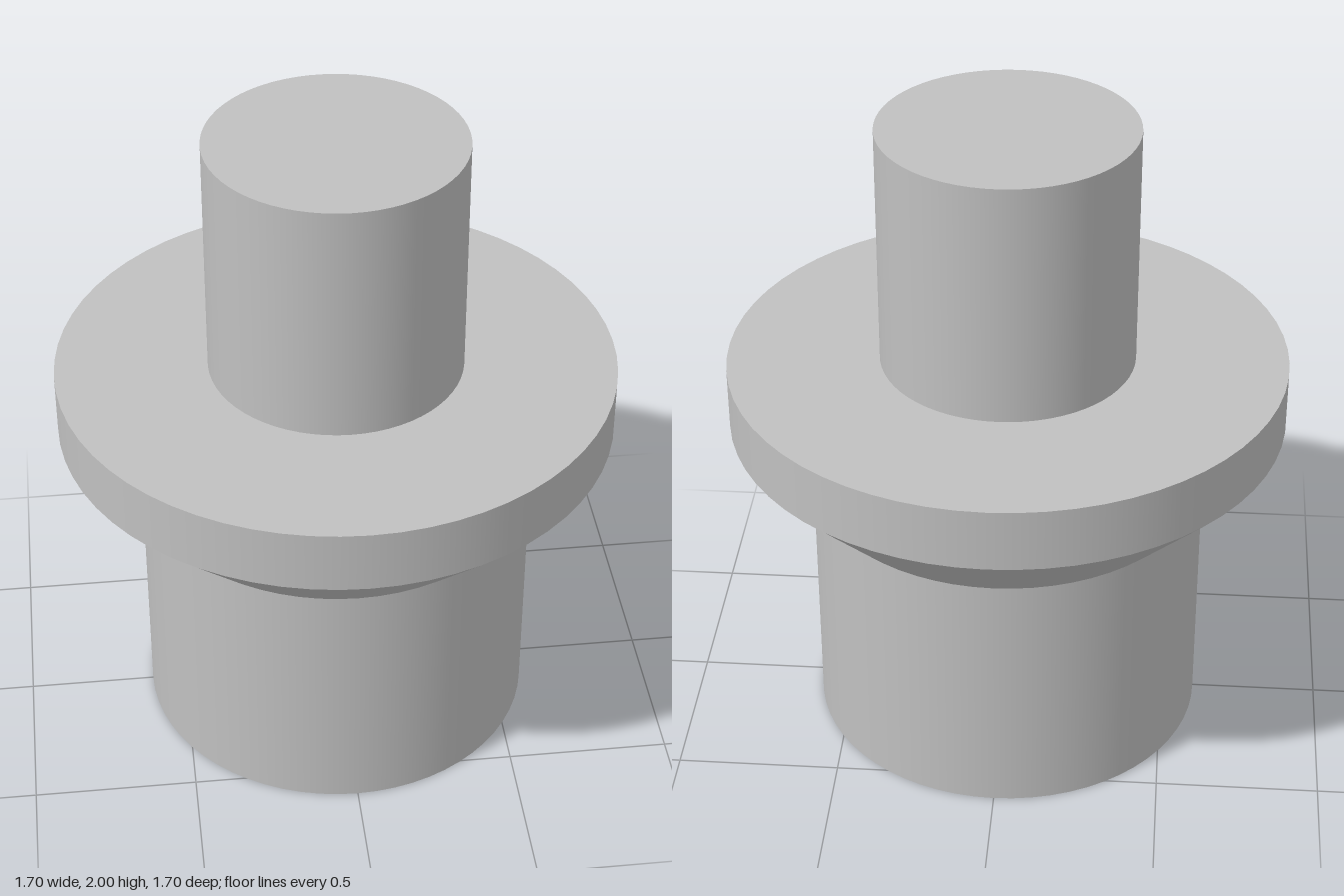
import * as THREE from 'three';

const SEGMENTS = 64;
const BASE_R = 0.606, FLANGE_R = 0.85, SHAFT_R = 0.388;
const BASE_TOP = 0.805, RIM_BOTTOM = 1.05, RIM_TOP = 1.243, TOP = 2;

export function createModel() {
  const group = new THREE.Group();
  group.name = 'steppedShaft';
  const metal = new THREE.MeshStandardMaterial({ color: 0xc0c0c0 });
  metal.name = 'plain grey';

  const add = (name, geometry) => {
    const mesh = new THREE.Mesh(geometry, metal);
    mesh.name = name;
    group.add(mesh);
    return mesh;
  };

  // Open wall between two heights, so the parts join without hidden faces
  const wall = (name, r0, y0, r1, y1) => {
    const geometry = new THREE.CylinderGeometry(r1, r0, y1 - y0, SEGMENTS, 1, true);
    add(name, geometry.translate(0, (y0 + y1) / 2, 0));
  };

  // Flat disc or ring; segments start on the same angle as the walls
  const face = (name, inner, outer, y, up) => {
    const geometry = inner > 0
      ? new THREE.RingGeometry(inner, outer, SEGMENTS)
      : new THREE.CircleGeometry(outer, SEGMENTS);
    add(name, geometry.rotateX(up ? -Math.PI / 2 : Math.PI / 2).translate(0, y, 0));
  };

  // Wide lower cylinder
  face('baseBottom', 0, BASE_R, 0, false);
  wall('baseWall', BASE_R, 0, BASE_R, BASE_TOP);

  // Flange: chamfered underside, straight rim, flat shoulder
  wall('flangeChamfer', BASE_R, BASE_TOP, FLANGE_R, RIM_BOTTOM);
  wall('flangeRim', FLANGE_R, RIM_BOTTOM, FLANGE_R, RIM_TOP);
  face('flangeShoulder', SHAFT_R, FLANGE_R, RIM_TOP, true);

  // Narrow upper cylinder
  wall('shaftWall', SHAFT_R, RIM_TOP, SHAFT_R, TOP);
  face('shaftTop', 0, SHAFT_R, TOP, true);

  return group;
}
